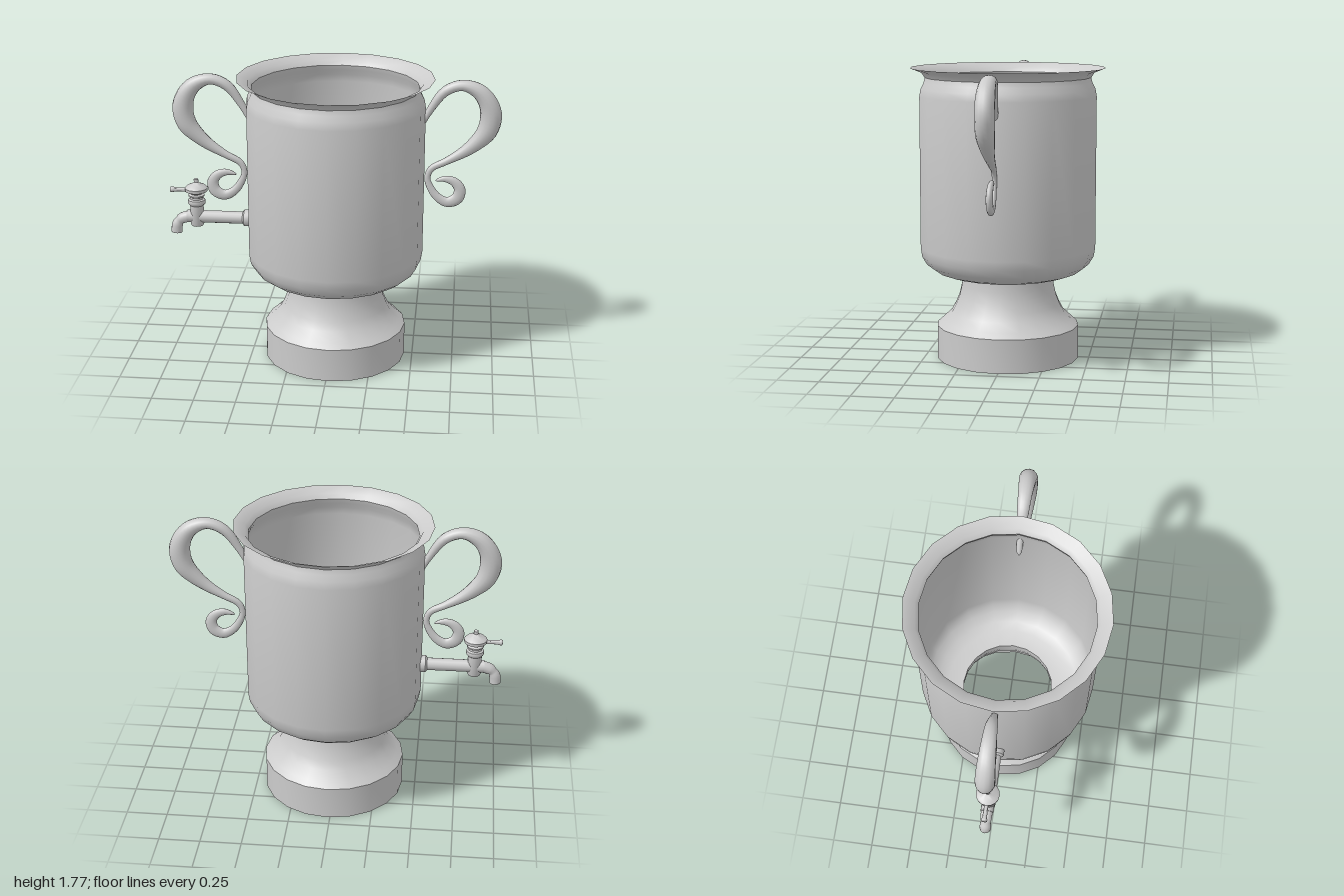
import * as THREE from 'three';
import { toCreasedNormals } from 'three/addons/utils/BufferGeometryUtils.js';

const material = new THREE.MeshStandardMaterial({ color: 0xcccccc, side: THREE.DoubleSide });

function addMesh(parent, name, geometry) {
  const mesh = new THREE.Mesh(geometry, material);
  mesh.name = name;
  parent.add(mesh);
  return mesh;
}

function lathe(profile, sides) {
  const geometry = new THREE.LatheGeometry(profile.map(([r, y]) => new THREE.Vector2(r, y)), sides);
  return toCreasedNormals(geometry, 0.75);
}

// Tube in the xy plane; each station is [x, y, radius in plane, radius along z]
function taperedTube(stations, steps, sides) {
  const path = new THREE.CatmullRomCurve3(stations.map(([x, y]) => new THREE.Vector3(x, y, 0)));
  const radii = new THREE.CatmullRomCurve3(stations.map(([, , a, b]) => new THREE.Vector3(a, b, 0)));
  const positions = [], index = [];
  for (let i = 0; i <= steps; i++) {
    const p = path.getPoint(i / steps), t = path.getTangent(i / steps), r = radii.getPoint(i / steps);
    const a = Math.max(r.x, 0), b = Math.max(r.y, 0);
    for (let j = 0; j < sides; j++) {
      const angle = (j / sides) * Math.PI * 2, c = Math.cos(angle) * a;
      positions.push(p.x - t.y * c, p.y + t.x * c, Math.sin(angle) * b);
      if (i === steps) continue;
      const k = i * sides + j, l = i * sides + (j + 1) % sides;
      index.push(k, l, k + sides, l, l + sides, k + sides);
    }
  }
  const geometry = new THREE.BufferGeometry();
  geometry.setAttribute('position', new THREE.Float32BufferAttribute(positions, 3));
  geometry.setIndex(index);
  geometry.computeVertexNormals();
  return geometry;
}

function createTap() {
  const tap = new THREE.Group();
  tap.name = 'tap';

  // Horizontal pipe and wall flange
  const pipe = addMesh(tap, 'tapPipe', new THREE.CylinderGeometry(0.038, 0.038, 0.42, 14));
  pipe.rotation.z = Math.PI / 2;
  pipe.position.set(-0.7, 0.87, 0);
  const flange = addMesh(tap, 'tapFlange', lathe(
    [[0, 0.03], [0.04, 0.03], [0.052, 0.02], [0.052, -0.03], [0, -0.03]].reverse(), 14));
  flange.rotation.z = Math.PI / 2;
  flange.position.set(-0.535, 0.87, 0);

  // Bent spout with a closed mouth
  addMesh(tap, 'tapSpout', taperedTube([
    [-0.84, 0.87, 0.038, 0.038], [-0.9, 0.868, 0.036, 0.036], [-0.95, 0.85, 0.034, 0.034],
    [-0.975, 0.815, 0.034, 0.034], [-0.981, 0.765, 0.034, 0.034],
  ], 14, 14));
  const mouth = addMesh(tap, 'spoutMouth', new THREE.CircleGeometry(0.034, 14));
  mouth.rotation.x = Math.PI / 2;
  mouth.position.set(-0.981, 0.766, 0);

  // Turned valve with collars, cap and finial
  const valve = addMesh(tap, 'tapValve', lathe([
    [0, 0.813], [0.036, 0.813], [0.042, 0.825], [0.042, 0.945], [0.052, 0.955], [0.055, 0.967],
    [0.052, 0.98], [0.04, 0.986], [0.04, 0.998], [0.05, 1.004], [0.05, 1.012], [0.036, 1.018],
    [0.042, 1.024], [0.068, 1.036], [0.07, 1.056], [0.055, 1.07], [0.026, 1.082], [0.014, 1.092],
    [0.014, 1.112], [0, 1.119],
  ], 16));
  valve.position.x = -0.85;

  // Small lever pointing outward
  const lever = addMesh(tap, 'tapLever', lathe(
    [[0, 0], [0.016, 0], [0.012, 0.1], [0.014, 0.14], [0.018, 0.155], [0.016, 0.166], [0, 0.168]], 10));
  lever.rotation.z = Math.PI / 2;
  lever.position.set(-0.845, 1.04, 0);
  return tap;
}

export function createModel() {
  const model = new THREE.Group();
  model.name = 'urn';
  const urn = new THREE.Group();
  urn.name = 'urnAssembly';
  urn.position.x = 0.016;
  model.add(urn);

  // Hollow foot, open below
  addMesh(urn, 'foot', lathe([
    [0.434, 0], [0.434, 0.205], [0.4, 0.235], [0.347, 0.285], [0.32, 0.335], [0.298, 0.39],
    [0.283, 0.455], [0.28, 0.52],
  ], 20));

  // Thin-walled vessel with shoulder and flared rim, open into the foot
  addMesh(urn, 'vessel', lathe([
    [0.28, 0.517], [0.38, 0.525], [0.44, 0.545], [0.495, 0.585], [0.525, 0.635], [0.534, 0.69],
    [0.534, 1.605], [0.526, 1.65], [0.508, 1.685], [0.5, 1.715], [0.52, 1.745], [0.587, 1.772],
  ], 20));

  // Scrolled handles, one on each side
  const scroll = taperedTube([
    [0.485, 1.455, 0, 0], [0.5, 1.48, 0.016, 0.016], [0.56, 1.59, 0.022, 0.022],
    [0.645, 1.705, 0.03, 0.035], [0.745, 1.743, 0.032, 0.042], [0.84, 1.71, 0.046, 0.05],
    [0.896, 1.642, 0.056, 0.055], [0.917, 1.556, 0.064, 0.056], [0.895, 1.465, 0.06, 0.054],
    [0.833, 1.392, 0.046, 0.044], [0.763, 1.335, 0.034, 0.033], [0.66, 1.273, 0.022, 0.023],
    [0.575, 1.225, 0.02, 0.016], [0.553, 1.165, 0.018, 0.014], [0.576, 1.1, 0.022, 0.015],
    [0.618, 1.045, 0.026, 0.018], [0.677, 1.016, 0.032, 0.02], [0.735, 1.043, 0.037, 0.02],
    [0.748, 1.1, 0.034, 0.02], [0.715, 1.146, 0.028, 0.018], [0.66, 1.163, 0.02, 0.014],
    [0.612, 1.153, 0.008, 0.008], [0.6, 1.148, 0, 0],
  ], 88, 14);
  addMesh(urn, 'leftHandle', scroll);
  addMesh(urn, 'rightHandle', scroll).rotation.y = Math.PI;

  const tap = createTap();
  tap.position.x = -0.003;
  urn.add(tap);
  return model;
}
